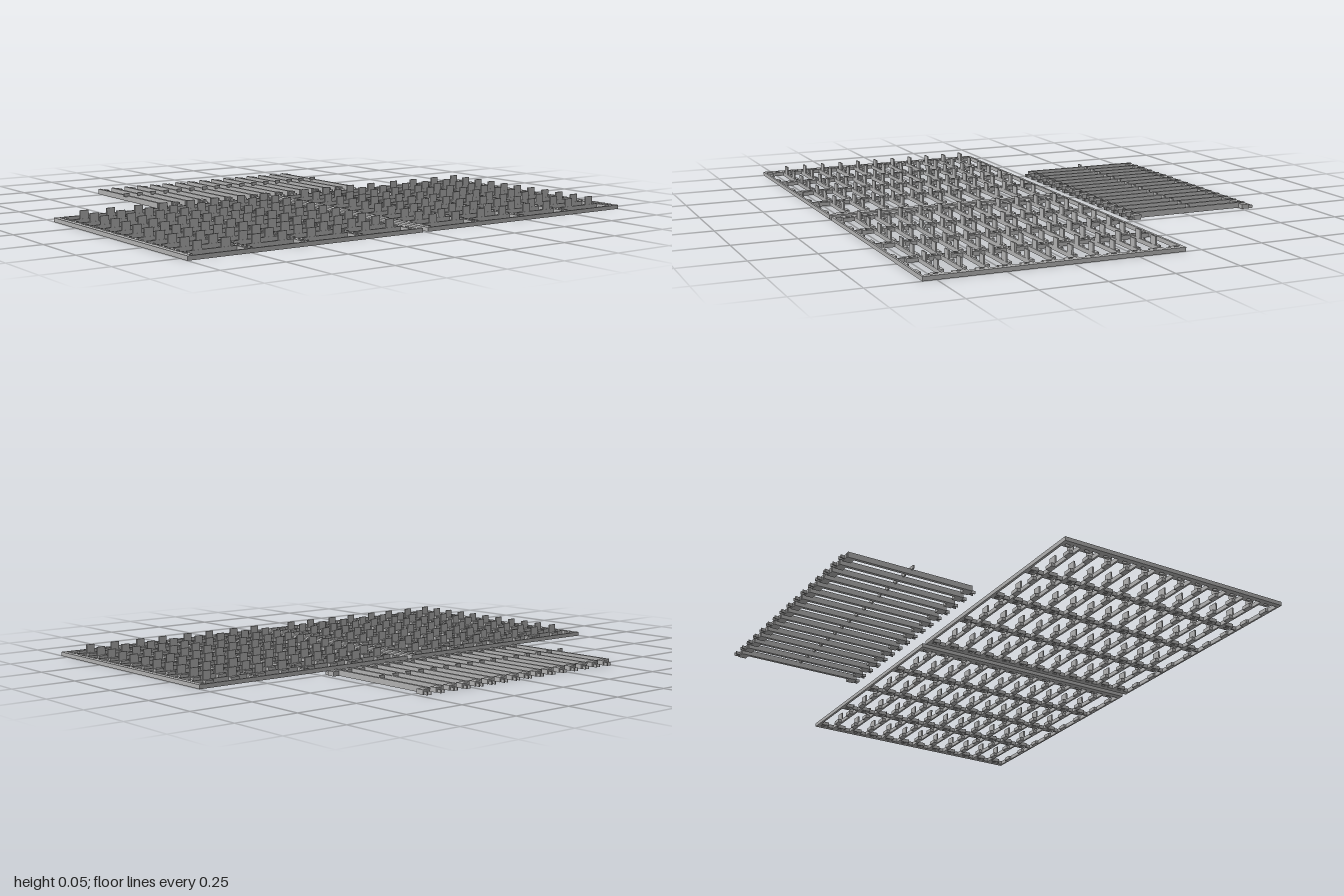
import * as THREE from 'three';

const gray = new THREE.MeshStandardMaterial({ color: 0xb0b0b0 });
gray.name = 'plain gray';

// Box given by its min and max corners
function box(parent, name, x0, x1, y0, y1, z0, z1) {
  const mesh = new THREE.Mesh(new THREE.BoxGeometry(x1 - x0, y1 - y0, z1 - z0), gray);
  mesh.position.set((x0 + x1) / 2, (y0 + y1) / 2, (z0 + z1) / 2);
  mesh.name = name;
  parent.add(mesh);
  return mesh;
}

// Flat pad with a round screw hole, lying in the xz plane
function padGeometry(width, depth, height) {
  const s = new THREE.Shape();
  s.moveTo(-width / 2, -depth / 2);
  s.lineTo(width / 2, -depth / 2);
  s.lineTo(width / 2, depth / 2);
  s.lineTo(-width / 2, depth / 2);
  s.closePath();
  const hole = new THREE.Path();
  hole.absarc(0, 0, 0.01, 0, Math.PI * 2, true);
  s.holes.push(hole);
  return new THREE.ExtrudeGeometry(s, { depth: height, bevelEnabled: false, curveSegments: 8 }).rotateX(-Math.PI / 2);
}

const BACK = -0.187, FRONT = 0.8, ROWS = 12, TOP = 0.016;
const PITCH = (FRONT - BACK) / ROWS;

// Grid panel spanning x from 0.012 to 1
function createPanel(name, dividers, tabs) {
  const panel = new THREE.Group();
  panel.name = name;
  const x0 = 0.012, x1 = 1;
  box(panel, 'innerRail', x0, x0 + 0.024, 0, TOP, BACK, FRONT);
  box(panel, 'outerRail', x1 - 0.02, x1, 0, TOP, BACK, FRONT);
  box(panel, 'backRail', x0, x1, 0, TOP, BACK, BACK + 0.01);
  box(panel, 'frontRail', x0, x1, 0, TOP, FRONT - 0.008, FRONT);
  for (const x of dividers) box(panel, 'divider', x - 0.003, x + 0.003, 0, TOP, BACK, FRONT);

  const pad = padGeometry(0.034, 0.044, TOP - 0.001);
  for (let r = 0; r < ROWS; r++) {
    const z = BACK + r * PITCH, zBar = z + PITCH;
    // Screw pads at the back of each row
    for (const x of [0.036, ...dividers, 0.977]) {
      const m = new THREE.Mesh(pad, gray);
      m.name = 'screwPad';
      m.position.set(x, 0, z + 0.026);
      panel.add(m);
    }
    const last = r === ROWS - 1;
    if (!last) box(panel, 'crossBar', x0, x1, 0, TOP, zBar - 0.004, zBar + 0.004);
    // Feet, with an upright tab on every inner bar
    for (const x of tabs) {
      box(panel, 'tabFoot', x - 0.018, x + 0.018, 0, TOP - 0.002, zBar - 0.02, zBar - 0.002);
      if (!last) box(panel, 'uprightTab', x - 0.018, x + 0.018, TOP - 0.002, 0.048, zBar - 0.003, zBar + 0.003);
    }
  }
  return panel;
}

// Loose slat with a clip at each end and a pin in the middle
function createSlat() {
  const slat = new THREE.Group();
  slat.name = 'slat';
  const zc = -0.523;
  box(slat, 'slatBar', -0.006, 0.006, 0, 0.022, zc - 0.257, zc + 0.257);
  box(slat, 'middlePin', -0.02, 0.004, 0.018, 0.032, zc - 0.003, zc + 0.003);
  for (const side of [-1, 1]) {
    const a = zc + side * 0.228, b = zc + side * 0.26;
    box(slat, 'clipBlock', 0, 0.032, 0, 0.018, Math.min(a, b), Math.max(a, b));
    // Slightly splayed pair of prongs
    for (const lean of [-1, 1]) {
      const z = zc + side * 0.266;
      const prong = box(slat, 'clipProng', 0.0165 + lean * 0.006, 0.0205 + lean * 0.006, 0, 0.012, z - 0.013, z + 0.013);
      prong.rotation.y = side * lean * 0.2;
    }
  }
  return slat;
}

export function createModel() {
  const model = new THREE.Group();
  model.name = 'gridPanelKit';
  const tabs = [0.102, 0.212, 0.338, 0.449, 0.573, 0.681, 0.802, 0.914];
  model.add(createPanel('leftPanel', [0.268, 0.5, 0.735], tabs));
  // Right panel: the same part turned to face the other way in x
  const right = createPanel('rightPanel', [0.277, 0.51, 0.743], tabs);
  for (const part of right.children) part.position.x *= -1;
  model.add(right);

  const proto = createSlat();
  for (let i = 0; i < 16; i++) {
    const slat = proto.clone();
    slat.position.x = -0.5 + i * 0.0631;
    model.add(slat);
  }
  return model;
}
